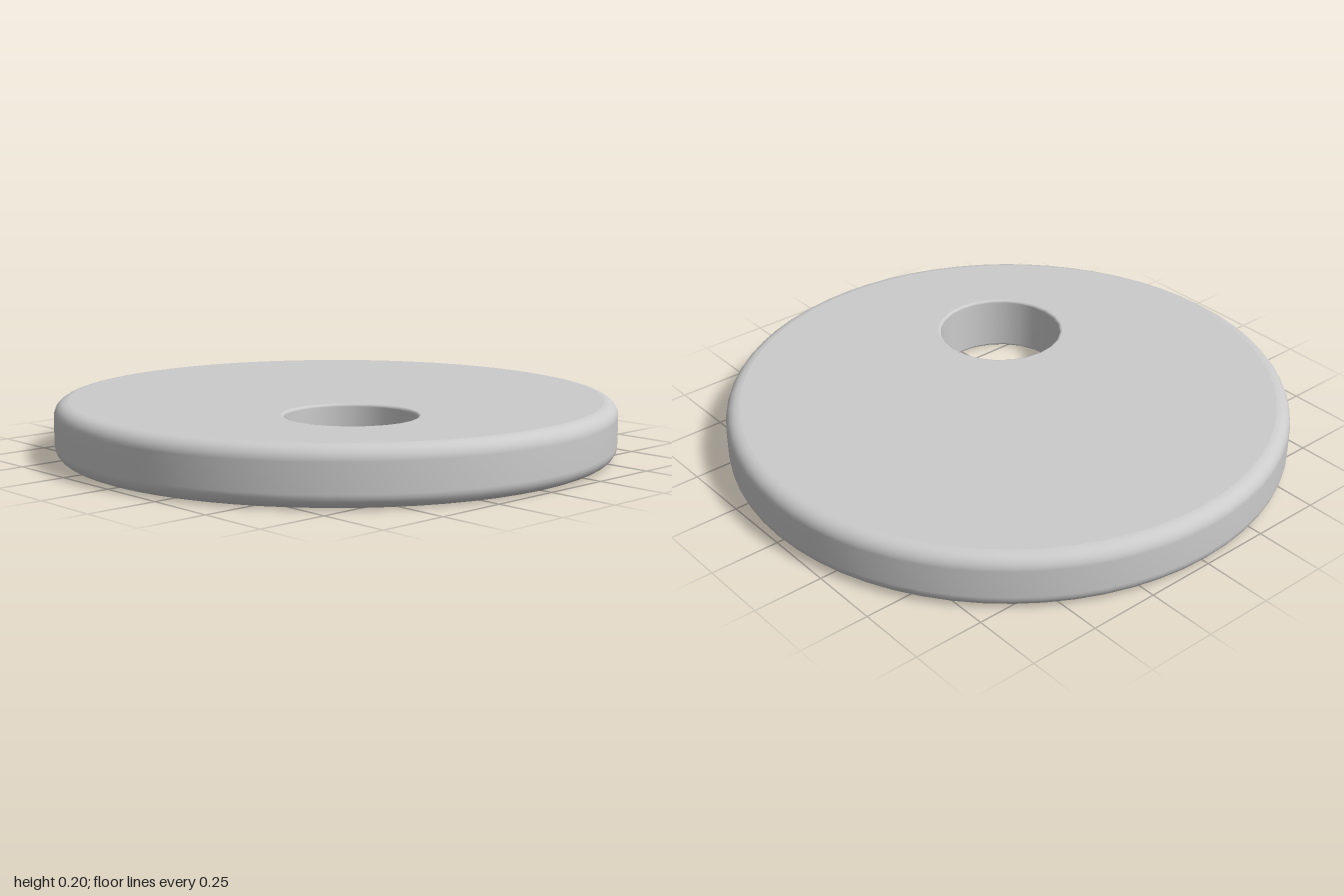
import * as THREE from 'three';

const HEIGHT = 0.2, RADIUS = 1, ROUND = 0.05;
const HOLE = { x: 0.345, z: 0.255, r: 0.225, round: 0.01 };
const RIM_SIDES = 64, HOLE_SIDES = 24;

// Upward profile with both ends rounded; dir = 1 turns the ends inward, -1 outward
function roundedProfile(radius, round, dir, steps) {
  const pts = [];
  for (const end of [-1, 1]) {
    for (let i = 0; i <= steps; i++) {
      const a = (Math.PI / 2) * (end < 0 ? i / steps - 1 : i / steps);
      const y = (end < 0 ? round : HEIGHT - round) + round * Math.sin(a);
      pts.push(new THREE.Vector2(radius - dir * round * (1 - Math.cos(a)), y));
    }
  }
  return pts;
}

function circle(cx, cy, r, n) {
  return Array.from({ length: n }, (_, i) => {
    const a = (i / n) * Math.PI * 2;
    return new THREE.Vector2(cx + r * Math.cos(a), cy + r * Math.sin(a));
  });
}

// Flat disc face with the off-centre hole; side = 1 faces up, -1 faces down
function faceGeometry(side) {
  const shape = new THREE.Shape(circle(0, 0, RADIUS - ROUND, RIM_SIDES));
  shape.holes.push(new THREE.Path(circle(HOLE.x, -side * HOLE.z, HOLE.r + HOLE.round, HOLE_SIDES)));
  const g = new THREE.ShapeGeometry(shape);
  g.rotateX((-side * Math.PI) / 2);
  g.translate(0, side > 0 ? HEIGHT : 0, 0);
  return g;
}

export function createModel() {
  const model = new THREE.Group();
  model.name = 'disc';
  const material = new THREE.MeshStandardMaterial({ color: 0xcccccc });
  const add = (name, geometry) => {
    const mesh = new THREE.Mesh(geometry, material);
    mesh.name = name;
    model.add(mesh);
    return mesh;
  };

  // Rounded outer rim
  add('outerRim', new THREE.LatheGeometry(roundedProfile(RADIUS, ROUND, 1, 6), RIM_SIDES));

  // Flat faces
  add('topFace', faceGeometry(1));
  add('bottomFace', faceGeometry(-1));

  // Hole wall, profile reversed so it faces the hole's axis
  const wall = roundedProfile(HOLE.r, HOLE.round, -1, 3).reverse();
  add('holeWall', new THREE.LatheGeometry(wall, HOLE_SIDES)).position.set(HOLE.x, 0, HOLE.z);

  return model;
}
